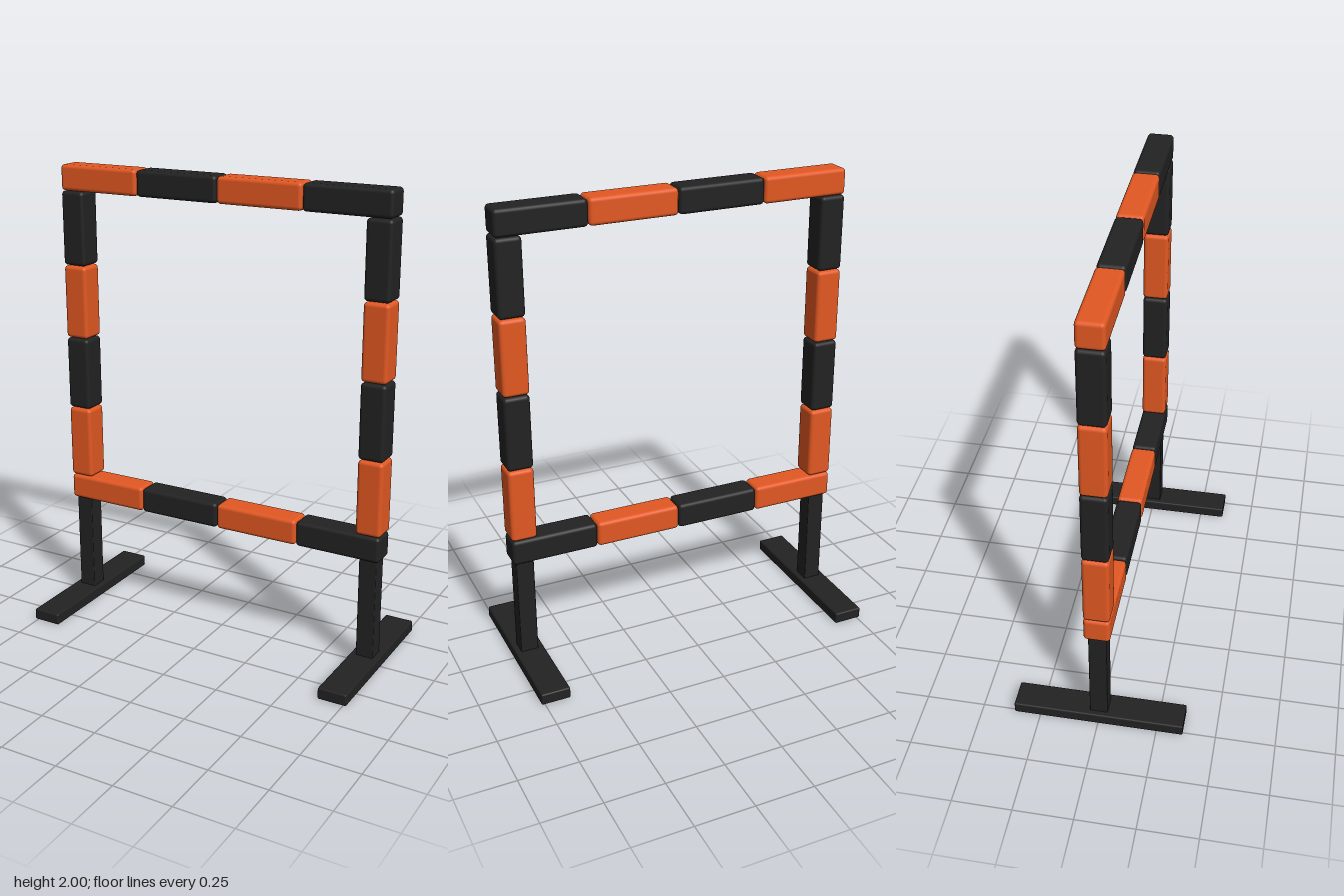
import * as THREE from 'three';
import { RoundedBoxGeometry } from 'three/addons/geometries/RoundedBoxGeometry.js';

const orange = new THREE.MeshStandardMaterial({ color: 0xe25822 });
orange.name = 'orange';
const black = new THREE.MeshStandardMaterial({ color: 0x222222 });
black.name = 'black';

const HALF = 0.756, BAR = 0.11;   // half width of the frame, bar thickness
const LOW = 0.49, TOP = 2;        // bottom and top of the square frame
const COUNT = 4, GAP = 0.003;     // padded segments per side

function block(name, size, position, material, radius) {
  const mesh = new THREE.Mesh(new RoundedBoxGeometry(...size, 3, radius), material);
  mesh.name = name;
  mesh.position.set(...position);
  return mesh;
}

export function createModel() {
  const model = new THREE.Group();
  model.name = 'hurdleGate';

  // Horizontal rails, orange first from the -x end
  const railStep = 2 * HALF / COUNT;
  for (const [name, y] of [['bottomRail', LOW + BAR / 2], ['topRail', TOP - BAR / 2]]) {
    const rail = new THREE.Group();
    rail.name = name;
    for (let i = 0; i < COUNT; i++) {
      rail.add(block(name + 'Pad', [railStep - GAP, BAR, BAR],
        [-HALF + (i + 0.5) * railStep, y, 0], i % 2 ? black : orange, 0.016));
    }
    model.add(rail);
  }

  // Uprights between the rails, and a stand below each one
  const sideStep = (TOP - LOW - 2 * BAR) / COUNT;
  for (const [side, s] of [['left', 1], ['right', -1]]) {
    const upright = new THREE.Group();
    upright.name = side + 'Upright';
    for (let i = 0; i < COUNT; i++) {
      upright.add(block(side + 'UprightPad', [BAR, sideStep - GAP, BAR],
        [s * (HALF - BAR / 2), LOW + BAR + (i + 0.5) * sideStep, 0], i % 2 ? black : orange, 0.016));
    }
    const stand = new THREE.Group();
    stand.name = side + 'Stand';
    stand.add(
      block(side + 'Leg', [0.076, 0.47, 0.076], [s * 0.701, 0.275, 0], black, 0.004),
      block(side + 'Foot', [0.126, 0.05, 0.724], [s * 0.701, 0.025, 0], black, 0.007));
    model.add(upright, stand);
  }
  return model;
}
